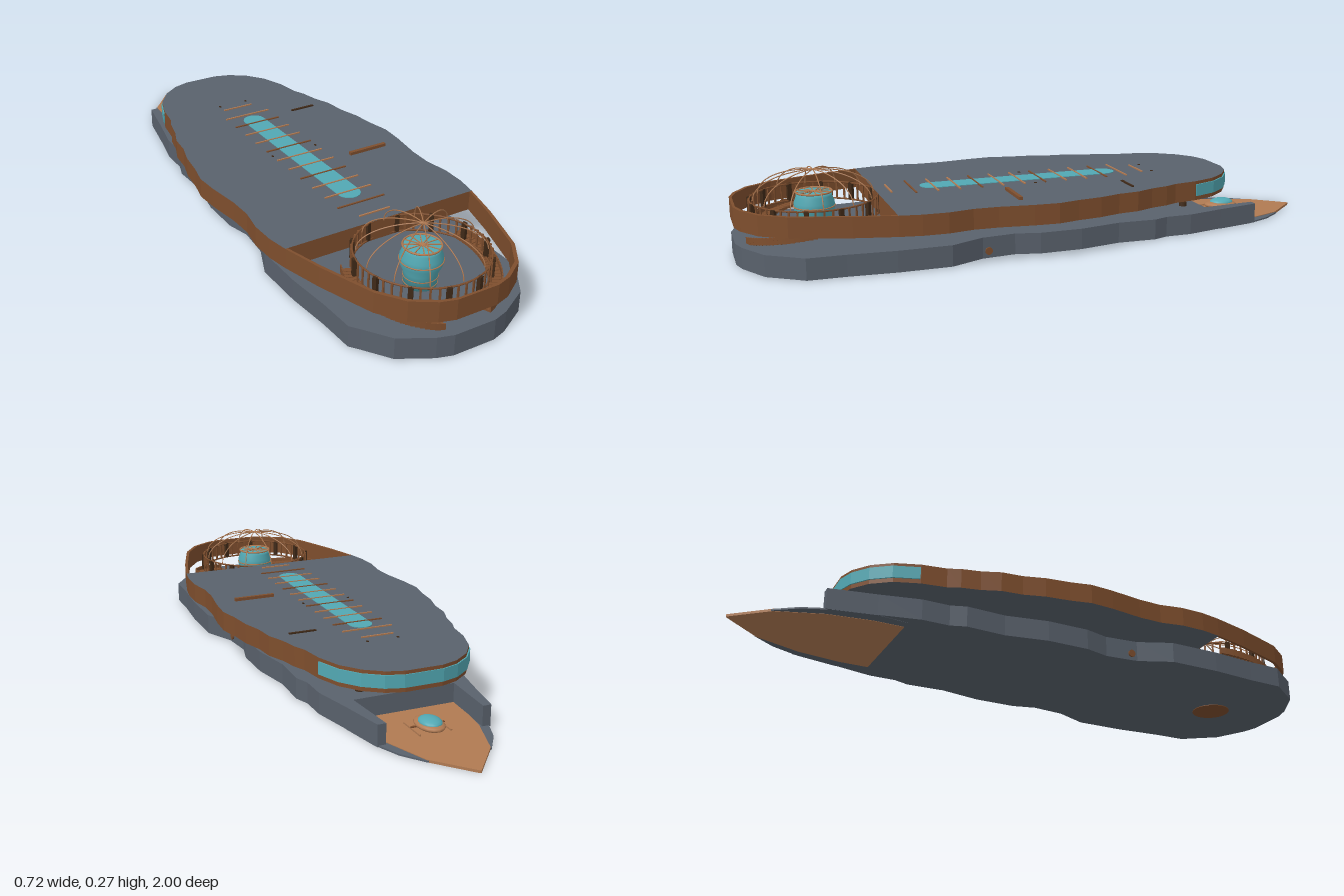
import * as THREE from 'three';

const mat = (name, color, side = THREE.FrontSide) => {
  const m = new THREE.MeshStandardMaterial({ color, side });
  m.name = name;
  return m;
};

export function createModel() {
  const root = new THREE.Group();
  root.name = 'longHall';
  const grey = mat('slate', 0x59616c);
  const brown = mat('bronze', 0x7e4e2d);
  const copper = mat('copper', 0xb07a52);
  const teal = mat('glass', 0x52a8b3);
  const dark = mat('darkBronze', 0x3f2917);

  const add = (name, geo, material, parent = root) => {
    const m = new THREE.Mesh(geo, material);
    m.name = name;
    parent.add(m);
    return m;
  };
  const box = (name, w, h, d, x, y, z, material, parent) =>
    add(name, new THREE.BoxGeometry(w, h, d).translate(x, y, z), material, parent);
  // Half outline [x, z] from front to back, mirrored into a closed loop
  const mirror = half => [...half, ...half.slice().reverse().map(([x, z]) => [-x, z])];
  const toShape = pts => new THREE.Shape(pts.map(p => new THREE.Vector2(p[0], p[1])));
  // Upright prism between two heights from a plan shape
  const prism = (shape, y0, y1) =>
    new THREE.ExtrudeGeometry(shape, { depth: y1 - y0, bevelEnabled: false, curveSegments: 24 })
      .rotateX(Math.PI / 2).translate(0, y1, 0);

  // Lower storey, with two arms around the landing deck
  const lowerHalf = [[0.07, 1], [0.12, 0.985], [0.22, 0.93], [0.275, 0.85], [0.297, 0.82], [0.3, 0.7],
    [0.312, 0.55], [0.312, 0.38], [0.265, 0.27], [0.255, 0.16], [0.275, 0.08], [0.275, -0.06],
    [0.25, -0.2], [0.255, -0.33], [0.238, -0.38], [0.238, -0.47], [0.21, -0.6], [0.182, -0.75],
    [0.155, -0.75], [0.168, -0.56]];
  add('lowerStorey', prism(toShape(mirror(lowerHalf)), 0.002, 0.07), grey);

  // Landing deck and the thin ledge beside it
  const ledge = [[0.2, -0.5], [0.21, -0.6], [0.185, -0.73], [0.15, -0.82], [0.1, -0.89]];
  add('deckLedge', prism(toShape(mirror(ledge)), 0.001, 0.006), grey);
  const deck = [[0.17, -0.5], [0.17, -0.6], [0.15, -0.74], [0.1, -0.885], [0.002, -1]];
  add('landingDeck', prism(toShape(mirror(deck)), 0, 0.008), copper);

  // Upper storey: roofed hall
  const hallHalf = [[0.338, 0.55], [0.35, 0.48], [0.352, 0.4], [0.338, 0.32], [0.34, 0.24], [0.355, 0.13],
    [0.36, 0.05], [0.345, -0.02], [0.335, -0.1], [0.315, -0.17], [0.308, -0.24], [0.285, -0.3],
    [0.272, -0.36], [0.255, -0.4], [0.243, -0.48]];
  const backArc = [[0.243, -0.48], [0.215, -0.56], [0.17, -0.62], [0.115, -0.66], [0.06, -0.677]];
  add('upperHall', prism(toShape(mirror([...hallHalf, ...backArc.slice(1)])), 0.12, 0.185), [grey, brown]);
  const glassArc = backArc.map(([x, z]) => [x + 0.003, z - 0.003]);
  add('rearWindow', prism(toShape(mirror(glassArc)), 0.134, 0.174), teal);

  // Open curved wall around the front court
  const courtHalf = [[0.338, 0.55], [0.305, 0.68], [0.272, 0.78], [0.245, 0.86], [0.19, 0.94],
    [0.12, 0.985], [0.07, 1]];
  const inner = courtHalf.map(([x, z]) => [x - 0.008, z - (z > 0.6 ? 0.008 : 0)]);
  const wall = [...courtHalf, ...courtHalf.slice().reverse().map(([x, z]) => [-x, z]),
    ...inner.map(([x, z]) => [-x, z]), ...inner.slice().reverse()];
  add('courtWall', prism(toShape(wall), 0.12, 0.185), brown);

  // Skylight and its cross ribs
  const sky = new THREE.Shape();
  sky.absarc(0, 0.363, 0.038, 0, Math.PI, false);
  sky.absarc(0, -0.247, 0.038, Math.PI, Math.PI * 2, false);
  add('skylight', prism(sky, 0.184, 0.187), teal);
  const ribs = new THREE.Group();
  ribs.name = 'skylightRibs';
  root.add(ribs);
  for (let i = 0; i < 13; i++) {
    const w = i === 0 || i === 12 ? 0.11 : 0.172;
    box('skylightRib', w, 0.004, 0.005, 0, 0.187, -0.372 + i * 0.0732, i % 3 === 2 ? brown : copper, ribs);
  }
  for (const s of [-1, 1]) for (const z of [-0.41, 0.03])
    box('roofPeg', 0.006, 0.003, 0.008, s * 0.052 * (z > 0 ? 1.6 : 1), 0.186, z, dark);
  box('roofFinLong', 0.14, 0.01, 0.012, 0.215, 0.19, 0.15, brown);
  box('roofFinShort', 0.09, 0.004, 0.008, 0.2, 0.187, -0.25, dark);

  // Front court, everything centred on one axis
  const court = new THREE.Group();
  court.name = 'court';
  court.position.z = 0.745;
  root.add(court);
  const V = (x, y) => new THREE.Vector2(x, y);
  add('glassDrum', new THREE.LatheGeometry([V(0, 0.068), V(0.05, 0.068), V(0.052, 0.115), V(0.064, 0.14),
    V(0.064, 0.165), V(0.056, 0.185), V(0.056, 0.197), V(0, 0.197)], 32), teal, court);
  const ring = (name, r, y, t, m) =>
    add(name, new THREE.TorusGeometry(r, t, 6, 48).rotateX(Math.PI / 2).translate(0, y, 0), m, court);
  ring('drumBand', 0.051, 0.08, 0.0015, copper);
  ring('drumBand', 0.052, 0.1, 0.0015, copper);
  ring('drumBand', 0.065, 0.152, 0.002, copper);
  ring('drumRim', 0.057, 0.198, 0.003, copper);
  add('baseDisc', new THREE.CylinderGeometry(0.065, 0.065, 0.008, 32).translate(0, 0.004, 0), brown, court);

  // Dome of twelve thin arcs, with spokes on the drum lid
  for (let i = 0; i < 12; i++) {
    const a = i * Math.PI / 6;
    const pts = [];
    for (let k = 0; k <= 10; k++) {
      const t = k / 10 * Math.PI / 2;
      const r = 0.19 * Math.cos(t);
      pts.push(new THREE.Vector3(r * Math.cos(a), 0.182 + 0.087 * Math.sin(t), r * Math.sin(a)));
    }
    add('domeArc', new THREE.TubeGeometry(new THREE.CatmullRomCurve3(pts), 20, 0.0018, 5), copper, court);
    const spoke = box('lidSpoke', 0.055, 0.003, 0.003, 0.028, 0.198, 0, copper, court);
    spoke.rotation.y = a;
  }

  // Ring railing
  ring('railTop', 0.2, 0.182, 0.003, brown);
  ring('railBottom', 0.2, 0.126, 0.003, brown);
  for (let i = 0; i < 48; i++) {
    const a = i / 48 * Math.PI * 2;
    const big = i % 4 === 2;
    const post = box('railPost', big ? 0.012 : 0.004, 0.06, big ? 0.014 : 0.006, 0.203, 0.154, 0,
      big ? dark : brown, court);
    post.rotation.y = a;
  }

  // Two curved stepped ramps with side walls, climbing toward the back
  for (const s of [-1, 1]) {
    const ramp = new THREE.Group();
    ramp.name = s > 0 ? 'leftRamp' : 'rightRamp';
    court.add(ramp);
    const n = 28;
    for (let i = 0; i < n; i++) {
      const f = i / (n - 1);
      const a = THREE.MathUtils.lerp(1.2, -0.38, f);
      const y = THREE.MathUtils.lerp(0.072, 0.13, f);
      const place = (name, w, h, r, dy, m) => {
        const b = box(name, w, h, 0.0155, 0, 0, 0, m, ramp);
        b.position.set(s * r * Math.cos(a), y + dy, r * Math.sin(a));
        b.rotation.y = -s * a;
      };
      place('rampStep', 0.04, 0.008, 0.214, 0, brown);
      place('rampSide', 0.004, 0.022, 0.234, 0.007, brown);
    }
  }

  // Small craft on the landing deck
  const craft = new THREE.Group();
  craft.name = 'smallCraft';
  craft.position.set(0, 0.028, -0.715);
  root.add(craft);
  add('craftHull', new THREE.SphereGeometry(1, 16, 10).scale(0.042, 0.014, 0.062), copper, craft);
  add('craftCanopy', new THREE.SphereGeometry(1, 16, 10).scale(0.034, 0.016, 0.044).translate(0, 0.007, -0.004), teal, craft);
  for (const s of [-1, 1]) {
    box('craftSkid', 0.005, 0.005, 0.1, s * 0.05, -0.012, 0.01, copper, craft);
    box('craftStrut', 0.025, 0.004, 0.006, s * 0.042, -0.006, 0.01, brown, craft);
  }

  // Bollards beside the deck, and a round hatch on each flank
  for (const s of [-1, 1]) {
    add('bollard', new THREE.CylinderGeometry(0.012, 0.014, 0.014, 10).translate(s * 0.12, 0.076, -0.5), dark);
    add('sideHatch', new THREE.CylinderGeometry(0.012, 0.012, 0.008, 16).rotateZ(Math.PI / 2)
      .translate(s * 0.264, 0.025, 0.25), brown);
  }
  return root;
}
